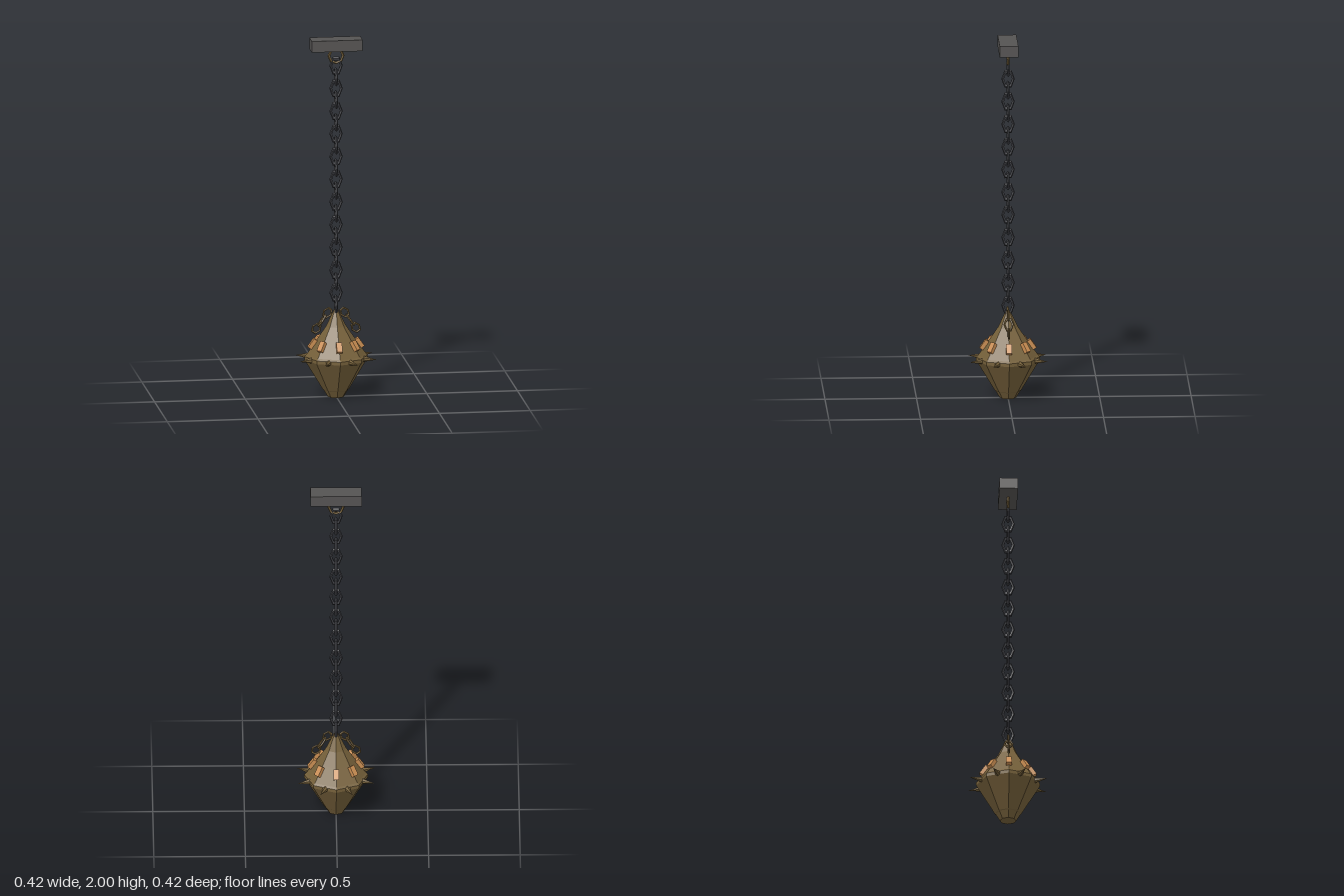
import * as THREE from 'three';

const mat = (name, color) => {
  const m = new THREE.MeshStandardMaterial({ color });
  m.name = name;
  m.flatShading = true;
  return m;
};

export function createModel() {
  const bronze = mat('bronze', 0x75603a);
  const copper = mat('copper', 0xc88d52);
  const iron = mat('dark iron', 0x3e3f44);
  const steel = mat('grey steel', 0x555352);
  const group = new THREE.Group();

  const add = (name, geometry, material, parent = group) => {
    const mesh = new THREE.Mesh(geometry, material);
    mesh.name = name;
    parent.add(mesh);
    return mesh;
  };

  // Ceiling beam and the ring below it
  add('ceilingBeam', new THREE.BoxGeometry(0.28, 0.062, 0.102), steel).position.y = 1.969;
  add('hangingRing', new THREE.TorusGeometry(0.039, 0.008, 5, 8), bronze).position.y = 1.905;

  // Main chain: links turned a quarter at every step
  const linkGeo = new THREE.TorusGeometry(0.029, 0.008, 5, 6).scale(1, 1.55, 1);
  for (let i = 0; i < 22; i++) {
    const link = add('chainLink', linkGeo, iron);
    link.position.y = 1.85 - i * 0.0635;
    link.rotation.y = (i % 2) * Math.PI / 2;
  }

  // Eight-sided weight
  const profile = [
    [0, 0], [0.045, 0], [0.068, 0.038], [0.073, 0.042], [0.168, 0.2], [0.174, 0.21],
    [0.174, 0.228], [0.164, 0.238], [0.105, 0.322], [0.055, 0.395], [0.012, 0.485], [0, 0.49],
  ].map(([r, y]) => new THREE.Vector2(r, y));
  add('weightBody', new THREE.LatheGeometry(profile, 8), bronze);

  // Spikes on the faces and copper studs on the edges
  const spikeGeo = new THREE.ConeGeometry(0.019, 0.085, 6).rotateX(Math.PI / 2);
  const studGeo = new THREE.BoxGeometry(0.031, 0.058, 0.022);
  for (let i = 0; i < 8; i++) {
    const sector = new THREE.Group();
    sector.name = 'weightSector';
    sector.rotation.y = i * Math.PI / 4;
    group.add(sector);

    const stud = add('stud', studGeo, copper, sector);
    stud.position.set(0, 0.299, 0.13);
    stud.rotation.x = -0.61;

    const a = Math.PI / 8;
    const spike = add('spike', spikeGeo, bronze, sector);
    spike.position.set(Math.sin(a) * 0.1875, 0.218, Math.cos(a) * 0.1875);
    spike.rotation.y = a;
  }

  // Short loose chains on both sides
  const looseGeo = new THREE.TorusGeometry(0.022, 0.006, 5, 6).scale(1, 1.25, 1);
  for (const side of [-1, 1]) {
    const chain = new THREE.Group();
    chain.name = side > 0 ? 'leftLooseChain' : 'rightLooseChain';
    chain.position.set(side * 0.078, 0.426, 0);
    chain.rotation.z = side * 0.62;
    group.add(chain);
    for (const k of [-1, 0, 1]) {
      const link = add('looseLink', looseGeo, bronze, chain);
      link.position.y = k * 0.053;
      link.rotation.y = k === 0 ? Math.PI / 2 : 0;
      if (k === 0) link.scale.y = 1.3;
    }
  }
  return group;
}
